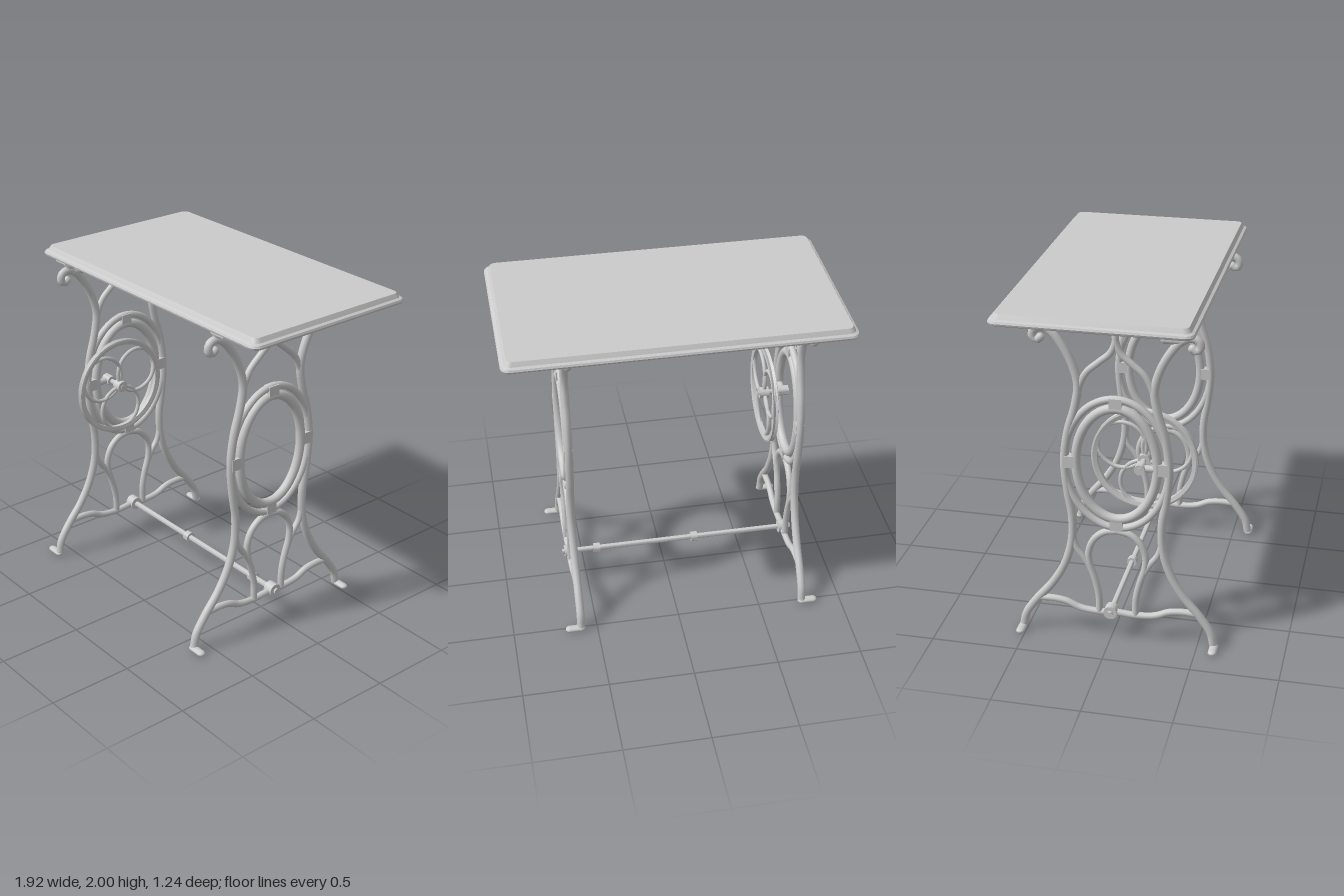
import * as THREE from 'three';
import { toCreasedNormals } from 'three/addons/utils/BufferGeometryUtils.js';

const mat = new THREE.MeshStandardMaterial({ color: 0xcccccc });
const FZ = 0.037; // z of the side frames' symmetry line
const CY = 1.11; // height of the oval rings

function add(parent, name, geo, x = 0, y = 0, z = 0) {
  const m = new THREE.Mesh(geo, mat);
  m.name = name;
  m.position.set(x, y, z);
  parent.add(m);
  return m;
}

// Round bar through [z, y] points (optional third value: x), with ball ends
function bar(parent, name, pts, r, seg = 48) {
  const v = pts.map(([z, y, x = 0]) => new THREE.Vector3(x, y, z));
  const g = new THREE.Group();
  g.name = name;
  add(g, name + 'Bar', new THREE.TubeGeometry(new THREE.CatmullRomCurve3(v), seg, r, 10));
  for (const p of [v[0], v[v.length - 1]])
    add(g, name + 'End', new THREE.SphereGeometry(r, 10, 8), p.x, p.y, p.z);
  parent.add(g);
  return g;
}

// Cylinder along x
function axial(parent, name, r, x0, x1, y, z) {
  const geo = toCreasedNormals(new THREE.CylinderGeometry(r, r, x1 - x0, 20).rotateZ(Math.PI / 2), 0.7);
  return add(parent, name, geo, (x0 + x1) / 2, y, z);
}

// Elliptical ring in the z-y plane
function oval(parent, name, rz, ry, r) {
  const pts = [];
  for (let i = 0; i < 32; i++) {
    const a = (i / 32) * Math.PI * 2;
    pts.push(new THREE.Vector3(0, ry * Math.sin(a), rz * Math.cos(a)));
  }
  return add(parent, name, new THREE.TubeGeometry(new THREE.CatmullRomCurve3(pts, true), 80, r, 12, true), 0, CY, 0);
}

// Stacked rounded rectangles, profile = [inset, y] rising from the bottom
function slab(w, d, corner, profile) {
  const loops = profile.map(([inset, y]) => {
    const pts = [];
    const c = Math.max(corner - inset * 0.5, 0.01);
    for (let q = 0; q < 4; q++)
      for (let i = 0; i <= 6; i++) {
        const a = ((q + i / 6) * Math.PI) / 2;
        const sx = q === 0 || q === 3 ? 1 : -1, sz = q < 2 ? 1 : -1;
        pts.push([sx * (w / 2 - inset - c) + c * Math.cos(a), y, sz * (d / 2 - inset - c) + c * Math.sin(a)]);
      }
    return pts;
  });
  const out = [], n = loops[0].length, top = loops.length - 1;
  const tri = (...p) => p.forEach((q) => out.push(...q));
  for (let i = 0; i < n; i++) {
    const j = (i + 1) % n;
    for (let k = 0; k < top; k++) {
      const a = loops[k][i], b = loops[k][j], c = loops[k + 1][j], e = loops[k + 1][i];
      tri(a, c, b);
      tri(a, e, c);
    }
    tri([0, profile[top][1], 0], loops[top][j], loops[top][i]);
    tri([0, profile[0][1], 0], loops[0][i], loops[0][j]);
  }
  const geo = new THREE.BufferGeometry();
  geo.setAttribute('position', new THREE.Float32BufferAttribute(out, 3));
  return toCreasedNormals(geo, 0.6);
}

// One cast side frame; out = +1 or -1 is the direction the feet point in x
function sideFrame(name, x, out) {
  const f = new THREE.Group();
  f.name = name;
  f.position.set(x, 0, FZ);
  for (const s of [1, -1]) {
    const m = (pts) => pts.map(([z, y]) => [z * s, y]);
    // S-curved leg ending in a scroll under the top
    bar(f, 'leg', m([[0.557, 0.025], [0.54, 0.1], [0.476, 0.2], [0.38, 0.32], [0.307, 0.45], [0.262, 0.6],
      [0.255, 0.76], [0.278, 0.92], [0.293, 1.11], [0.272, 1.28], [0.228, 1.44], [0.21, 1.565], [0.233, 1.67],
      [0.286, 1.78], [0.35, 1.86], [0.405, 1.885], [0.445, 1.868], [0.452, 1.83], [0.43, 1.812], [0.41, 1.825]]), 0.024, 110);
    // Foot turned outwards
    const foot = add(f, 'foot', new THREE.CapsuleGeometry(0.025, 0.07, 6, 12).rotateZ(Math.PI / 2), out * 0.035, 0.016, s * 0.562);
    foot.scale.y = 0.64;
    // Upper fork
    bar(f, 'upperFork', m([[0, 1.9], [0.002, 1.83], [0.03, 1.765], [0.09, 1.71], [0.16, 1.645], [0.2, 1.565], [0.21, 1.5]]), 0.019);
    // Lower arch half and the strut tying it to the leg
    bar(f, 'lowerArch', m([[0, 0.7], [0.07, 0.685], [0.13, 0.635], [0.162, 0.56], [0.16, 0.48], [0.128, 0.37], [0.108, 0.27], [0.106, 0.17]]), 0.02);
    bar(f, 'archStrut', m([[0.257, 0.66], [0.235, 0.575], [0.185, 0.5], [0.15, 0.43], [0.122, 0.34]]), 0.018);
    // Bottom rail half
    bar(f, 'bottomRail', m([[0.455, 0.215], [0.37, 0.218], [0.3, 0.208], [0.22, 0.175], [0.11, 0.163], [0, 0.17]]), 0.02);
    // Blocks between the two rings
    add(f, 'ringBlock', new THREE.BoxGeometry(0.05, 0.07, 0.07), 0, CY, s * 0.262);
    add(f, 'ringBlock', new THREE.BoxGeometry(0.05, 0.07, 0.07), 0, CY + s * 0.365, 0);
  }
  oval(f, 'outerRing', 0.293, 0.39, 0.021);
  oval(f, 'innerRing', 0.228, 0.335, 0.027);
  // Top rail and fixing pads
  add(f, 'topRail', new THREE.BoxGeometry(0.045, 0.02, 0.8), 0, 1.905, 0);
  for (const z of [-0.385, 0, 0.385]) {
    add(f, 'padPost', new THREE.CylinderGeometry(0.04, 0.03, 0.04, 16), 0, 1.92, z);
    add(f, 'fixingPad', new THREE.BoxGeometry(0.1, 0.018, 0.08), out * 0.035, 1.932, z);
  }
  return f;
}

export function createModel() {
  const model = new THREE.Group();
  model.name = 'treadleTable';

  // Table top with moulded edge, and the shallow tray beneath it
  add(model, 'tableTop', slab(1.925, 1.1, 0.05,
    [[0.014, 1.94], [0.003, 1.947], [0, 1.957], [0.005, 1.968], [0.02, 1.975], [0.028, 1.99], [0.034, 2]]), 0, 0, -0.062);
  const tray = slab(0.94, 0.52, 0.06, [[0.1, 1.897], [0.08, 1.9], [0.03, 1.918], [0, 1.942]]);
  add(model, 'underTray', tray, -0.2, 0, -0.04);

  const XL = 0.597, XR = -0.763;
  model.add(sideFrame('leftFrame', XL, 1), sideFrame('rightFrame', XR, -1));
  const guide = add(model, 'beltGuide', new THREE.CapsuleGeometry(0.024, 0.1, 6, 12).rotateX(Math.PI / 2), XR, 1.868, 0.35);
  guide.scale.x = 1.05;

  // Cross rod with hubs and collars
  axial(model, 'crossRod', 0.016, -0.81, 0.64, 0.175, 0);
  for (const x of [XL, XR]) axial(model, 'rodHub', 0.04, x - 0.03, x + 0.03, 0.175, 0);
  for (const x of [-0.19, 0.425]) axial(model, 'rodCollar', 0.03, x - 0.02, x + 0.02, 0.175, 0);

  // Drive wheel: grooved rim and three circular openings
  const wheel = new THREE.Group();
  wheel.name = 'driveWheel';
  wheel.position.set(-0.648, 1.105, 0.17);
  const rim = [[0.268, -0.012], [0.29, -0.018], [0.3, -0.015], [0.291, 0], [0.3, 0.015], [0.29, 0.018], [0.268, 0.012], [0.268, -0.012]];
  const rimGeo = new THREE.LatheGeometry(rim.map(([r, y]) => new THREE.Vector2(r, y)), 64);
  add(wheel, 'wheelRim', toCreasedNormals(rimGeo.rotateZ(Math.PI / 2), 0.5));
  for (let i = 0; i < 3; i++) {
    const a = Math.PI * (-1 / 2 + (i * 2) / 3);
    // openings lie at 270, 30 and 150 degrees
    add(wheel, 'spokeRing', new THREE.TorusGeometry(0.138, 0.012, 8, 40).rotateY(Math.PI / 2), 0, 0.147 * Math.sin(a), 0.147 * Math.cos(a));
  }
  model.add(wheel);

  // Axle and the arm that carries it
  axial(model, 'wheelHub', 0.034, -0.672, -0.615, 1.105, 0.17);
  axial(model, 'axle', 0.014, -0.8, -0.61, 1.105, 0.17);
  axial(model, 'axleBoss', 0.03, -0.795, -0.73, 1.105, 0.17);
  bar(model, 'axleArm', [[0.17, 1.105, XR], [0.22, 1.105, XR], [0.27, 1.108, XR]], 0.02, 8);
  return model;
}
